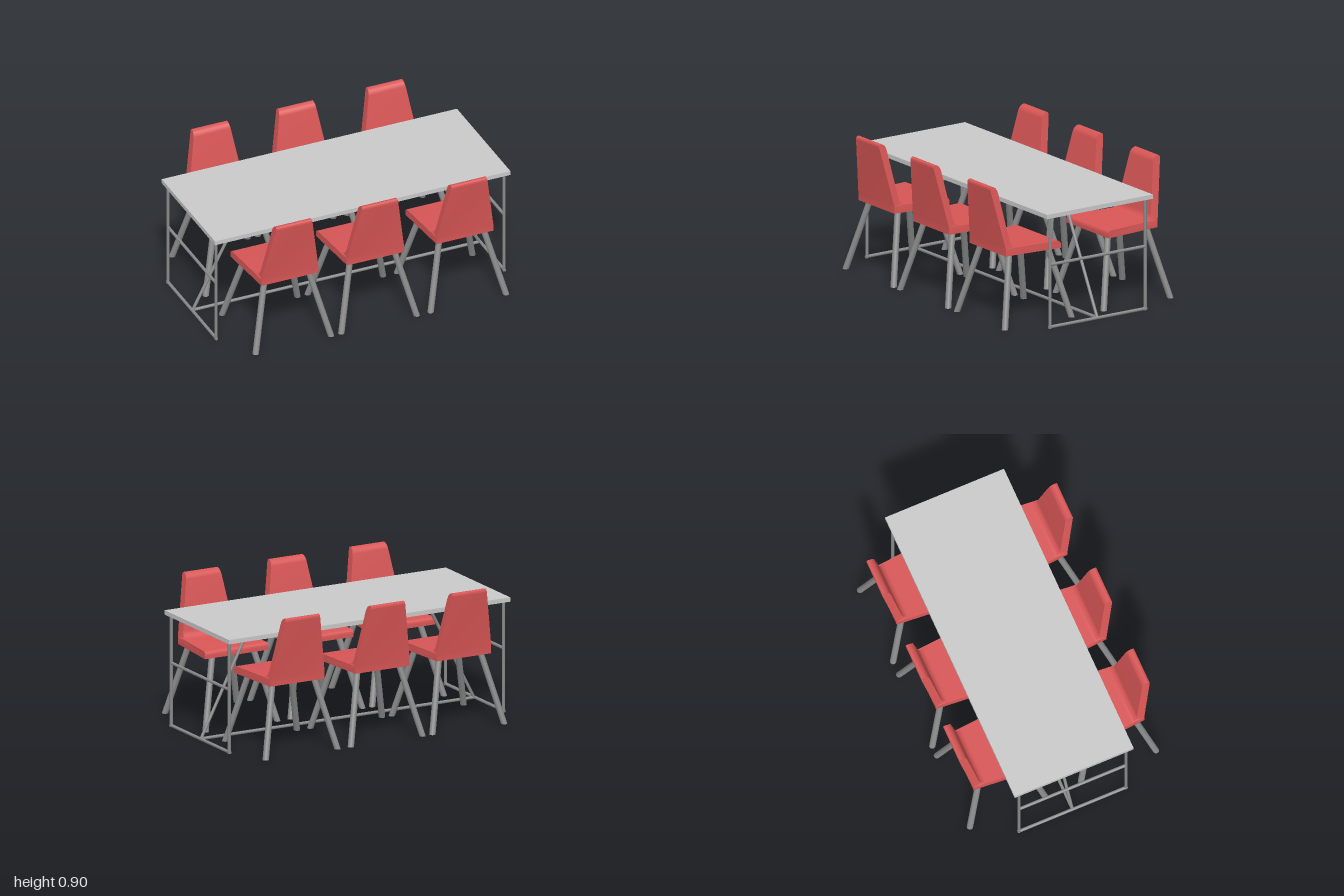
import * as THREE from 'three';
import { toCreasedNormals } from 'three/addons/utils/BufferGeometryUtils.js';

const red = new THREE.MeshStandardMaterial({ color: 0xd95656 });
red.name = 'seatRed';
const steel = new THREE.MeshStandardMaterial({ color: 0x8a8a8a });
steel.name = 'steelGrey';
const pale = new THREE.MeshStandardMaterial({ color: 0xcacaca });
pale.name = 'tabletopGrey';

const lerp = THREE.MathUtils.lerp;
const v = (x, y, z) => new THREE.Vector3(x, y, z);

// Round bar between two points
function bar(name, a, b, r = 0.01) {
  const dir = b.clone().sub(a);
  const mesh = new THREE.Mesh(new THREE.CylinderGeometry(r, r, dir.length(), 16), steel);
  mesh.position.copy(a).add(b).multiplyScalar(0.5);
  mesh.quaternion.setFromUnitVectors(v(0, 1, 0), dir.normalize());
  mesh.name = name;
  return mesh;
}

// Splayed leg: a cylinder sheared so that its ends stay level
function splayedLeg(bottom, top) {
  const h = top.y - bottom.y;
  const g = new THREE.CylinderGeometry(0.02, 0.02, h, 20);
  g.applyMatrix4(new THREE.Matrix4().set(
    1, (top.x - bottom.x) / h, 0, (top.x + bottom.x) / 2,
    0, 1, 0, (top.y + bottom.y) / 2,
    0, (top.z - bottom.z) / h, 1, (top.z + bottom.z) / 2,
    0, 0, 0, 1));
  const mesh = new THREE.Mesh(g, steel);
  mesh.name = 'chairLeg';
  return mesh;
}

// One-piece seat and back: side profile extruded across, then tapered
function shellGeometry() {
  const s = new THREE.Shape(); // shape x = model z
  s.moveTo(0.18, 0.458);
  s.lineTo(0.575, 0.458);
  s.lineTo(0.575, 0.505);
  s.lineTo(0.642, 0.876);
  s.quadraticCurveTo(0.644, 0.896, 0.627, 0.896);
  s.bezierCurveTo(0.605, 0.893, 0.591, 0.876, 0.587, 0.85);
  s.lineTo(0.535, 0.552);
  s.bezierCurveTo(0.53, 0.522, 0.513, 0.505, 0.486, 0.505);
  s.lineTo(0.207, 0.505);
  s.quadraticCurveTo(0.18, 0.505, 0.18, 0.478);
  s.closePath();
  const g = new THREE.ExtrudeGeometry(s, { depth: 2, bevelEnabled: false, curveSegments: 8 });
  g.translate(0, 0, -1);
  g.rotateY(-Math.PI / 2); // profile axis to z, width axis to x
  const p = g.attributes.position;
  for (let i = 0; i < p.count; i++) {
    const y = p.getY(i), z = p.getZ(i);
    const half = y < 0.506
      ? lerp(0.225, 0.1925, (z - 0.18) / 0.395)
      : lerp(0.1925, 0.12, (y - 0.458) / 0.438);
    p.setX(i, p.getX(i) * half);
  }
  return toCreasedNormals(g, 0.6);
}

function createChair(shell) {
  const chair = new THREE.Group();
  const seat = new THREE.Mesh(shell, red);
  seat.name = 'seatShell';
  chair.add(seat);
  for (const side of [-1, 1]) {
    chair.add(splayedLeg(v(side * 0.255, 0.012, 0.626), v(side * 0.147, 0.46, 0.518)));
    chair.add(splayedLeg(v(side * 0.255, 0.012, 0.122), v(side * 0.147, 0.46, 0.23)));
  }
  return chair;
}

function createTable() {
  const table = new THREE.Group();
  table.name = 'table';
  const top = new THREE.Mesh(new THREE.BoxGeometry(2, 0.028, 0.8), pale);
  top.name = 'tabletop';
  top.position.y = 0.728;
  table.add(top);
  // End frames with diagonal braces
  for (const s of [-1, 1]) {
    const x = s * 0.975;
    for (const z of [-0.36, 0.36]) table.add(bar('tableLeg', v(x, 0.002, z), v(x, 0.716, z)));
    table.add(bar('footRail', v(x, 0.011, -0.37), v(x, 0.011, 0.37)));
    table.add(bar('middleRail', v(x, 0.411, -0.36), v(x, 0.411, 0.36)));
    table.add(bar('diagonalBrace', v(s * 0.97, 0.011, 0), v(s * 0.607, 0.716, 0)));
  }
  table.add(bar('floorRail', v(-0.975, 0.011, 0), v(0.975, 0.011, 0)));
  return table;
}

export function createModel() {
  const model = new THREE.Group();
  model.name = 'diningSet';
  model.add(createTable());
  // Three chairs along each long side
  const shell = shellGeometry();
  for (const x of [-0.572, 0.008, 0.613]) {
    for (const front of [true, false]) {
      const chair = createChair(shell);
      chair.name = front ? 'frontChair' : 'backChair';
      chair.position.x = x;
      if (!front) chair.rotation.y = Math.PI;
      model.add(chair);
    }
  }
  return model;
}
